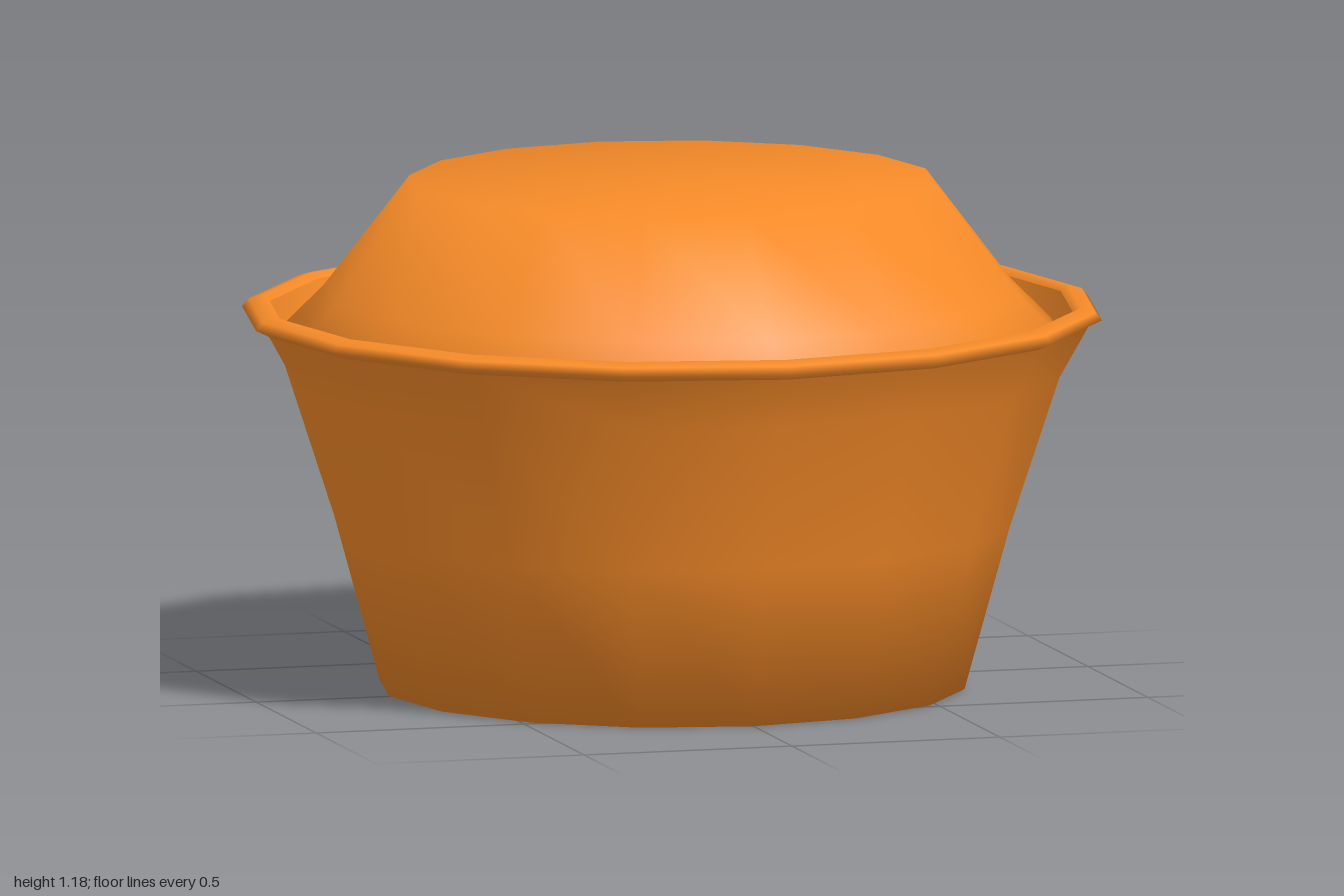
import * as THREE from 'three';

const SIDES = 16;

// Smooth 16-sided turned part from [radius, height] pairs
function turned(name, profile, material) {
  const points = profile.map(([r, y]) => new THREE.Vector2(r, y));
  const mesh = new THREE.Mesh(new THREE.LatheGeometry(points, SIDES), material);
  mesh.name = name;
  return mesh;
}

export function createModel() {
  const group = new THREE.Group();
  group.name = 'domedCup';
  const orange = new THREE.MeshStandardMaterial({ color: 0xf58a28, side: THREE.DoubleSide });

  // Closed base and flared outer wall
  group.add(turned('cupWall', [
    [0, 0], [0.68, 0], [0.785, 0.38], [0.9, 0.73], [0.97, 0.855],
  ], orange));

  // Thin rolled lip
  group.add(turned('rim', [
    [0.965, 0.85], [1.0, 0.867], [0.985, 0.885], [0.95, 0.895], [0.935, 0.88],
  ], orange));

  // Inner wall running down behind the filling
  group.add(turned('innerWall', [
    [0.935, 0.88], [0.91, 0.8], [0.87, 0.7],
  ], orange));

  // Filling with a flat top and bevelled shoulder
  group.add(turned('domedFilling', [
    [0.87, 0.72], [0.91, 0.82], [0.81, 0.92], [0.61, 1.18], [0, 1.18],
  ], orange));

  return group;
}
